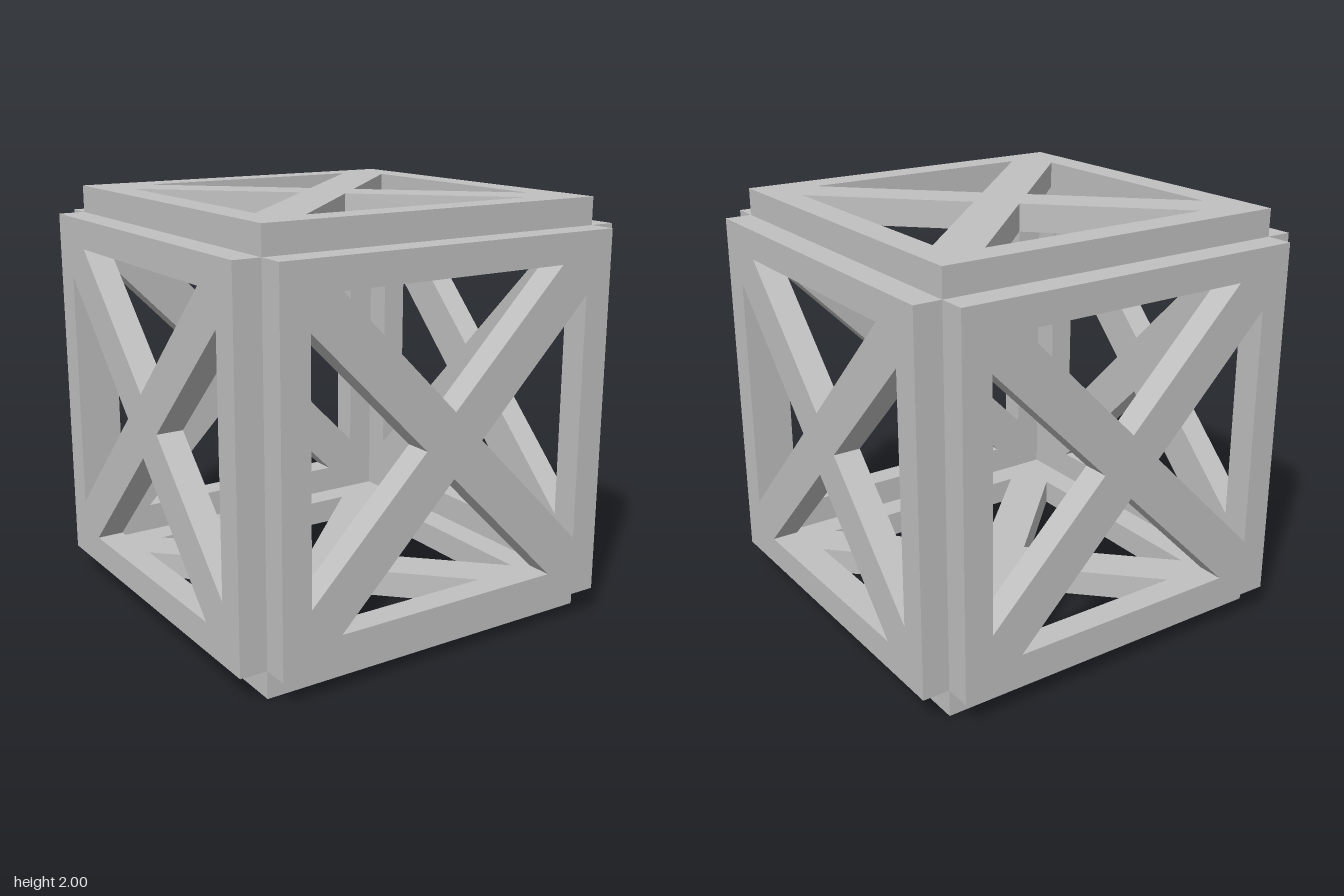
import * as THREE from 'three';

const HALF = 0.87;   // half the width of a panel
const INNER = 0.73;  // half the width inside the frame
const CROSS = 0.15;  // half diagonal where the braces meet
const DEPTH = 0.13;  // panel thickness

// Square frame with two diagonal braces, cut as four triangular holes
function panelGeometry() {
  const shape = new THREE.Shape([[-1, -1], [1, -1], [1, 1], [-1, 1]]
    .map(([x, y]) => new THREE.Vector2(x * HALF, y * HALF)));
  const reach = INNER - CROSS;
  for (let i = 0; i < 4; i++) {
    const triangle = [[0, CROSS], [-reach, INNER], [reach, INNER]]
      .map(([x, y]) => new THREE.Vector2(x, y).rotateAround(new THREE.Vector2(), i * Math.PI / 2));
    shape.holes.push(new THREE.Path(triangle));
  }
  const geometry = new THREE.ExtrudeGeometry(shape, { depth: DEPTH, bevelEnabled: false });
  return geometry.translate(0, 0, HALF);
}

export function createModel() {
  const model = new THREE.Group();
  model.name = 'bracedCube';
  const grey = new THREE.MeshStandardMaterial({ color: 0xc0c0c0 });
  grey.name = 'grey';
  const geometry = panelGeometry();

  // One panel for each side of the cube
  const q = Math.PI / 2;
  const sides = {
    frontPanel: [0, 0], leftPanel: [0, q], backPanel: [0, 2 * q],
    rightPanel: [0, -q], topPanel: [-q, 0], bottomPanel: [q, 0],
  };
  for (const [name, [rx, ry]] of Object.entries(sides)) {
    const panel = new THREE.Mesh(geometry, grey);
    panel.name = name;
    panel.rotation.set(rx, ry, 0);
    panel.position.y = 1;
    model.add(panel);
  }
  return model;
}
